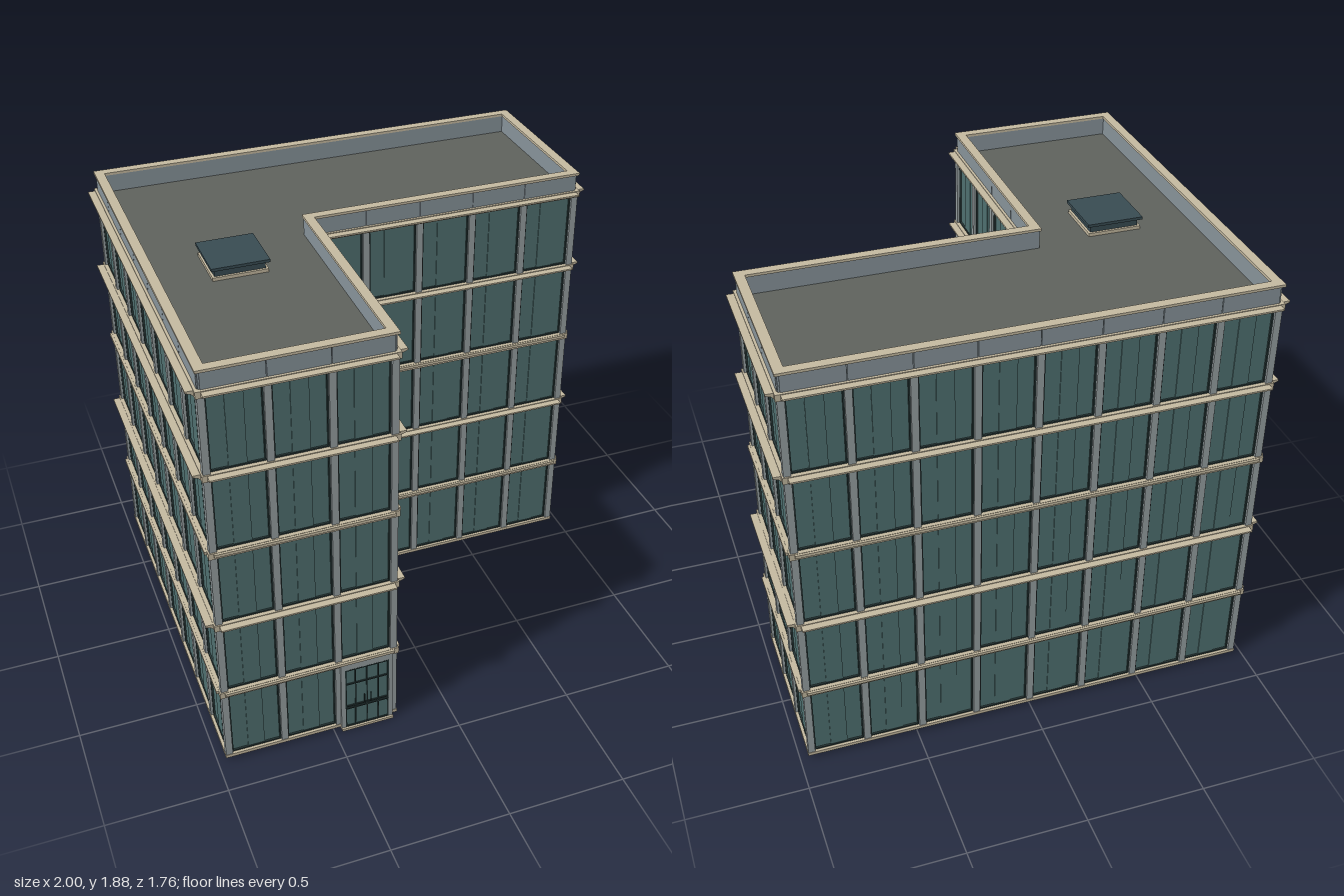
import * as THREE from 'three';

const P = 0.2375;      // bay width
const H = 0.354;       // storey height
const FLOORS = 5;
const TOP = 1.79;      // roof level

const mat = (color, side = THREE.FrontSide) =>
  new THREE.MeshStandardMaterial({ color, side, flatShading: true });

// L-shaped footprint: x, z and the outward direction of each corner
const CORNERS = [
  [-4 * P, 3.5 * P, -1, 1], [-P, 3.5 * P, 1, 1], [-P, -0.5 * P, 1, 1],
  [4 * P, -0.5 * P, 1, 1], [4 * P, -3.5 * P, 1, -1], [-4 * P, -3.5 * P, -1, -1],
];
// start corner, bay count and heading of each wall
const WALLS = [
  ['frontWall', 0, 3, 0], ['courtSideWall', 1, 4, Math.PI / 2], ['courtFrontWall', 2, 5, 0],
  ['leftWall', 3, 3, Math.PI / 2], ['backWall', 4, 8, Math.PI], ['rightWall', 5, 7, -Math.PI / 2],
];

const outline = (d) => CORNERS.map(([x, z, sx, sz]) => new THREE.Vector2(x + sx * d, -(z + sz * d)));

// Flat L-shaped slab, or a ring when an inner offset is given
function slab(outer, inner, height) {
  const shape = new THREE.Shape(outline(outer));
  if (inner !== null) shape.holes.push(new THREE.Path(outline(inner)));
  const geo = new THREE.ExtrudeGeometry(shape, { depth: height, bevelEnabled: false });
  return geo.rotateX(-Math.PI / 2);
}

// Rectangular frame, centred, facing +z
function frameGeometry(w, h, t, depth) {
  const rect = (a, b) => [[-a, -b], [a, -b], [a, b], [-a, b]].map(([x, y]) => new THREE.Vector2(x, y));
  const shape = new THREE.Shape(rect(w / 2, h / 2));
  shape.holes.push(new THREE.Path(rect(w / 2 - t, h / 2 - t)));
  return new THREE.ExtrudeGeometry(shape, { depth, bevelEnabled: false });
}

export function createModel() {
  const model = new THREE.Group();
  model.name = 'officeBuilding';

  const stone = mat(0xc4b9a0);
  const metal = mat(0x969fa1);
  const panel = mat(0x87939a);
  const glass = mat(0x4f7070, THREE.DoubleSide);
  const dark = mat(0x263636);
  const skyGlass = mat(0x384b52);
  const roofing = mat(0x5f625d);

  function add(parent, name, geo, material, x = 0, y = 0, z = 0) {
    const mesh = new THREE.Mesh(geo, material);
    mesh.name = name;
    mesh.position.set(x, y, z);
    parent.add(mesh);
    return mesh;
  }
  const box = (parent, name, material, w, h, d, x, y, z) =>
    add(parent, name, new THREE.BoxGeometry(w, h, d), material, x, y, z);

  // Shared window parts
  const winW = P - 0.028, winH = 0.326;
  const frameGeo = frameGeometry(winW, winH, 0.006, 0.014);
  const paneGeo = new THREE.PlaneGeometry(winW, winH);
  const midPaneGeo = new THREE.BoxGeometry(winW / 3, winH - 0.012, 0.006);
  const columnGeo = new THREE.BoxGeometry(0.028, TOP - 0.015, 0.028);

  // Sloping cornice section: distance out from the wall, height
  const cornice = new THREE.Shape([[0, -0.012], [0.022, -0.012], [0.028, -0.004], [0.05, 0.004], [0.05, 0.011], [0, 0.011]]
    .map(([d, y]) => new THREE.Vector2(d, y)));

  for (const [name, corner, bays, heading] of WALLS) {
    const wall = new THREE.Group();
    wall.name = name;
    wall.position.set(CORNERS[corner][0], 0, CORNERS[corner][1]);
    wall.rotation.y = heading;
    model.add(wall);
    const length = bays * P;

    for (let b = 0; b < bays; b++) {
      const x = (b + 0.5) * P;
      add(wall, 'column', columnGeo, metal, b * P, (TOP + 0.015) / 2, 0);
      // Parapet panel above the bay, with a seam at each side
      box(wall, 'parapetPanel', panel, P - 0.003, 0.08, 0.006, x, TOP + 0.04, 0.006);
      for (let f = 0; f < FLOORS; f++) {
        if (corner === 0 && b === 2 && f === 0) continue; // entrance bay
        const y = f * H + 0.03 + winH / 2;
        add(wall, 'windowFrame', frameGeo, dark, x, y, -0.010);
        add(wall, 'windowPane', paneGeo, glass, x, y, -0.004);
        add(wall, 'windowMiddlePane', midPaneGeo, glass, x, y, -0.003);
      }
    }

    // Ledges: narrow on floors 1 and 3, broad cornices on 2, 4 and the top
    for (let f = 1; f <= FLOORS; f++) {
      const y = f * H + 0.015;
      if (f === 1 || f === 3) {
        box(wall, 'narrowLedge', stone, length, 0.013, 0.03, length / 2, y + 0.006, 0.015);
      } else {
        const geo = new THREE.ExtrudeGeometry(cornice, { depth: length, bevelEnabled: false });
        geo.rotateY(-Math.PI / 2).translate(length, 0, 0); // section out, length along the wall
        // keep the section facing outward
        add(wall, 'cornice', geo, stone, 0, y, 0);
      }
    }
  }

  // Floor bands running round the building
  add(model, 'baseBand', slab(0.016, -0.016, 0.015), stone, 0, 0.015, 0);
  for (let f = 1; f <= FLOORS; f++) {
    add(model, 'floorBand', slab(0.02, -0.016, 0.028), stone, 0, f * H + 0.001, 0);
  }

  // Roof, parapet and coping
  add(model, 'roof', slab(-0.01, null, 0.015), roofing, 0, TOP - 0.013, 0);
  add(model, 'parapet', slab(0.005, -0.02, 0.08), panel, 0, TOP, 0);
  add(model, 'coping', slab(0.015, -0.025, 0.011), stone, 0, TOP + 0.079, 0);

  // Roof light
  const light = new THREE.Group();
  light.name = 'skylight';
  light.position.set(-2.5 * P, TOP, 0);
  model.add(light);
  box(light, 'skylightCurb', stone, 0.225, 0.016, 0.225, 0, 0.008, 0);
  box(light, 'skylightSides', skyGlass, 0.205, 0.035, 0.205, 0, 0.03, 0);
  box(light, 'skylightTop', skyGlass, 0.236, 0.012, 0.236, 0, 0.052, 0);

  // Entrance: surround, glazed leaves, bars, handles and step
  const door = new THREE.Group();
  door.name = 'entrance';
  door.position.set(-1.5 * P, 0, 3.5 * P);
  model.add(door);
  const W = 0.226;
  box(door, 'doorStep', stone, W, 0.012, 0.05, 0, 0.006, 0.007);
  for (const s of [-1, 1]) {
    box(door, 'doorJamb', metal, 0.018, 0.322, 0.04, s * (W / 2 - 0.009), 0.173, 0.003);
    box(door, 'doorHandle', dark, 0.004, 0.045, 0.005, s * 0.014, 0.16, 0.029);
    box(door, 'doorStile', dark, 0.006, 0.32, 0.012, s * 0.092, 0.172, 0.016);
    box(door, 'doorMullion', dark, 0.005, 0.32, 0.01, s * 0.05, 0.172, 0.017);
  }
  box(door, 'doorHeader', metal, W, 0.035, 0.04, 0, 0.351, 0.003);
  box(door, 'doorGlass', glass, W - 0.036, 0.322, 0.006, 0, 0.173, 0.015);
  box(door, 'doorMeetingStile', dark, 0.005, 0.32, 0.01, 0, 0.172, 0.017);
  for (const y of [0.014, 0.115, 0.128, 0.252, 0.33]) {
    box(door, 'doorRail', dark, W - 0.036, 0.006, 0.012, 0, y, 0.017);
  }
  return model;
}
